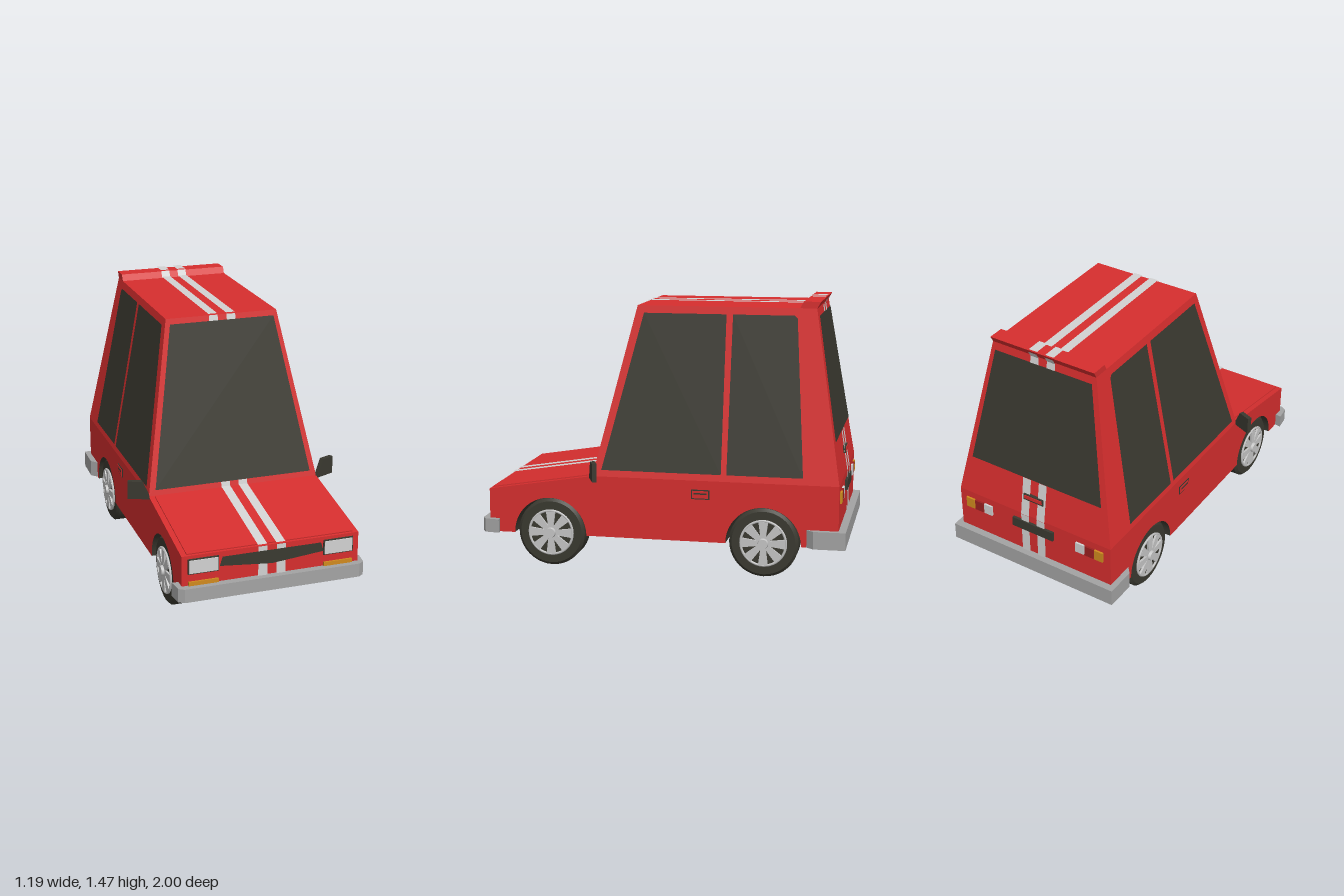
import * as THREE from 'three';
import { toCreasedNormals } from 'three/addons/utils/BufferGeometryUtils.js';

const mat = (name, color) => Object.assign(new THREE.MeshStandardMaterial({ color }), { name });

// Main dimensions
const HALF = 0.485, FLOOR = 0.18, WAIST = 0.515, ROOF = 1.43, FRONT = 0.96, BACK = -0.96;
const AXLES = [0.615, -0.56], ARCH = 0.203;
const lerpAt = (y, a, b) => a + (b - a) * (y - WAIST) / (ROOF - WAIST);
const sideX = y => lerpAt(y, HALF, 0.315);
const screenZ = y => lerpAt(y, 0.375, 0.157);
const rearZ = y => lerpAt(y, BACK, -0.81);

export function createModel() {
  const red = mat('red paint', 0xd62e2e);
  const dark = mat('dark glass and rubber', 0x3a3930);
  const white = mat('stripe white', 0xd2d2d2);
  const grey = mat('bumper grey', 0xa3a3a3);
  const silver = mat('rim silver', 0xc6c6c6);
  const amber = mat('amber lens', 0xd08a1e);
  const tail = mat('tail light red', 0x9c2020);

  const car = new THREE.Group();
  car.name = 'car';
  const add = (name, geo, material, parent = car) => {
    const m = new THREE.Mesh(geo, material);
    m.name = name;
    parent.add(m);
    return m;
  };
  const box = (name, material, w, h, d, x, y, z, parent) => {
    const m = add(name, new THREE.BoxGeometry(w, h, d), material, parent);
    m.position.set(x, y, z);
    return m;
  };

  // Flat convex face lifted slightly off the surface, turned towards "out"
  const panel = (name, material, corners, out, lift) => {
    let p = corners.map(c => new THREE.Vector3(...c));
    const n = p[1].clone().sub(p[0]).cross(p[2].clone().sub(p[0])).normalize();
    if (n.dot(new THREE.Vector3(...out)) < 0) { p.reverse(); n.negate(); }
    p.forEach(v => v.addScaledVector(n, lift));
    const tris = [];
    for (let i = 1; i < p.length - 1; i++) tris.push(p[0], p[i], p[i + 1]);
    const g = new THREE.BufferGeometry().setFromPoints(tris);
    g.computeVertexNormals();
    return add(name, g, material);
  };

  // Lower body with through-cut wheel arches; underside and arches are dark
  const s = new THREE.Shape();
  s.moveTo(FRONT, FLOOR);
  s.lineTo(FRONT, 0.42);
  s.lineTo(0.375, WAIST);
  s.lineTo(BACK, WAIST);
  s.lineTo(BACK, FLOOR);
  for (const z of [...AXLES].reverse()) {
    s.lineTo(z - ARCH, FLOOR);
    s.absarc(z, FLOOR, ARCH, Math.PI, 0, true);
  }
  const body = new THREE.ExtrudeGeometry(s, { depth: HALF * 2, bevelEnabled: false, curveSegments: 24 });
  body.rotateY(-Math.PI / 2).translate(HALF, 0, 0);
  body.clearGroups();
  const pos = body.attributes.position, nor = body.attributes.normal;
  for (let i = 0; i < pos.count; i += 3) {
    const inArch = pos.getY(i) < 0.4 && AXLES.some(z => Math.abs(pos.getZ(i) - z) < ARCH + 0.001);
    const under = Math.abs(nor.getX(i)) < 0.5 && (nor.getY(i) < -0.5 || inArch);
    body.addGroup(i, 3, under ? 1 : 0);
  }
  add('lowerBody', body, [red, dark]);

  // Tapered cabin: a box whose corners follow the pillars
  const cabin = new THREE.BoxGeometry(2, 1, 2);
  const cp = cabin.attributes.position;
  for (let i = 0; i < cp.count; i++) {
    const y = cp.getY(i) > 0 ? ROOF : WAIST;
    cp.setXYZ(i, cp.getX(i) * sideX(y), y, cp.getZ(i) > 0 ? screenZ(y) : rearZ(y));
  }
  cabin.computeVertexNormals();
  add('cabin', cabin, red);

  // Raised bonnet panel
  const hood = box('bonnet', red, 0.91, 0.012, 0.57, 0, 0.4675, 0.6675);
  hood.rotation.x = Math.atan2(0.095, 0.585);

  // Roof spoiler
  const sp = new THREE.Shape([[-0.72, 1.42], [-0.72, 1.43], [-0.74, 1.465], [-0.83, 1.465], [-0.805, 1.42]]
    .map(p => new THREE.Vector2(...p)));
  add('spoiler', new THREE.ExtrudeGeometry(sp, { depth: 0.63, bevelEnabled: false })
    .rotateY(-Math.PI / 2).translate(0.315, 0, 0), red);

  // Front and rear glass
  const endGlass = (name, zAt, y0, w0, y1, w1, dir) => panel(name, dark,
    [[-w0, y0, zAt(y0)], [w0, y0, zAt(y0)], [w1, y1, zAt(y1)], [-w1, y1, zAt(y1)]], [0, 0, dir], 0.006);
  endGlass('windscreen', screenZ, 0.545, 0.447, 1.4, 0.295, 1);
  endGlass('rearWindow', rearZ, 0.735, 0.41, 1.39, 0.295, -1);

  // Double stripes following the centre line, front to back
  const chains = [
    [[FRONT, 0.25], [FRONT, 0.42], [0.375, WAIST], [screenZ(0.545), 0.545]],
    [[screenZ(1.4), 1.4], [0.157, ROOF], [-0.72, ROOF], [-0.74, 1.465], [-0.83, 1.465], [-0.81, ROOF], [rearZ(1.39), 1.39]],
    [[rearZ(0.735), 0.735], [BACK, WAIST], [BACK, 0.27]],
  ];
  for (const side of [-1, 1]) for (const chain of chains) {
    for (let i = 0; i < chain.length - 1; i++) {
      const [z0, y0] = chain[i], [z1, y1] = chain[i + 1];
      const a = side * 0.025, b = side * 0.075;
      panel('stripe', white, [[a, y0, z0], [b, y0, z0], [b, y1, z1], [a, y1, z1]], [0, z0 - z1, y1 - y0], 0.008);
    }
  }

  // Grille
  panel('grille', dark, [[-0.27, 0.395, FRONT], [-0.285, 0.345, FRONT], [0, 0.318, FRONT],
    [0.285, 0.345, FRONT], [0.27, 0.395, FRONT]], [0, 0, 1], 0.011);

  // Mirror shape, drawn from the body outwards
  const mirrorShape = new THREE.Shape([[0, 0], [0.12, 0], [0.12, 0.1], [0.045, 0.1], [0.012, 0.03]]
    .map(p => new THREE.Vector2(...p)));

  for (const side of [-1, 1]) {
    // Side windows
    for (const [name, pts] of [
      ['frontSideWindow', [[0.325, 0.55], [0.12, 1.39], [-0.33, 1.39], [-0.33, 0.55]]],
      ['rearSideWindow', [[-0.36, 0.55], [-0.365, 1.39], [-0.695, 1.39], [-0.71, 1.375], [-0.768, 0.55]]],
    ]) panel(name, dark, pts.map(([z, y]) => [side * sideX(y), y, z]), [side, 0, 0], 0.005);

    // Front lamps
    box('headlightFrame', dark, 0.166, 0.084, 0.008, side * 0.37, 0.36, FRONT + 0.003);
    box('headlight', white, 0.154, 0.072, 0.014, side * 0.37, 0.36, FRONT + 0.005);
    box('frontIndicator', amber, 0.16, 0.022, 0.012, side * 0.37, 0.266, FRONT + 0.004);

    // Rear lamps
    [[0.415, amber], [0.357, tail], [0.297, white]].forEach(([x, m]) =>
      box('rearLamp', m, 0.052, 0.06, 0.014, side * x, 0.445, BACK - 0.004));

    // Door handle
    box('doorHandlePlate', dark, 0.006, 0.052, 0.1, side * HALF, 0.44, -0.22);
    box('doorHandle', red, 0.012, 0.04, 0.088, side * HALF, 0.44, -0.22);
    box('doorHandleSlot', dark, 0.014, 0.008, 0.07, side * HALF, 0.445, -0.22);

    // Wing mirror, swept backwards
    const holder = new THREE.Group();
    holder.name = 'mirror';
    holder.position.set(side * 0.475, 0.505, 0.37);
    holder.rotation.y = side > 0 ? 0.4 : Math.PI - 0.4;
    add('mirrorHousing', new THREE.ExtrudeGeometry(mirrorShape, { depth: 0.025, bevelEnabled: false })
      .translate(0, 0, side > 0 ? 0 : -0.025), dark, holder);
    car.add(holder);
  }

  // Number plate and tailgate handle
  box('rearPlate', dark, 0.26, 0.055, 0.024, 0, 0.447, BACK - 0.003);
  box('tailgateHandlePlate', dark, 0.125, 0.036, 0.022, 0, 0.63, rearZ(0.63) - 0.003);
  box('tailgateHandle', red, 0.11, 0.02, 0.03, 0, 0.633, rearZ(0.63) - 0.003);

  // Wrap-around bumpers, half outlines in x and z, mirrored
  const bumper = (name, half, height) => {
    const all = [...half, ...half.map(([x, z]) => [-x, z]).reverse()];
    const shape = new THREE.Shape(all.map(([x, z]) => new THREE.Vector2(x, -z)));
    add(name, new THREE.ExtrudeGeometry(shape, { depth: height, bevelEnabled: false })
      .rotateX(-Math.PI / 2).translate(0, FLOOR, 0), grey);
  };
  bumper('frontBumper', [[0.484, 0.959], [0.484, 0.905], [0.52, 0.9], [0.51, 0.98], [0.48, 1]], 0.075);
  bumper('rearBumper', [[0.484, -0.959], [0.484, -0.79], [0.518, -0.83], [0.515, -1]], 0.095);

  // Wheels, built facing +z and turned outwards
  const tyre = toCreasedNormals(new THREE.LatheGeometry(
    [[0, -0.07], [0.172, -0.07], [0.187, -0.056], [0.187, 0.056], [0.172, 0.07], [0, 0.07]]
      .map(p => new THREE.Vector2(...p)), 40).rotateX(Math.PI / 2), 0.5);
  const rim = new THREE.TorusGeometry(0.122, 0.007, 6, 40);
  const hub = new THREE.CylinderGeometry(0.026, 0.032, 0.03, 20).rotateX(Math.PI / 2);
  const spoke = new THREE.ExtrudeGeometry(new THREE.Shape([[-0.012, 0.015], [0.012, 0.015], [0.026, 0.118], [-0.026, 0.118]]
    .map(p => new THREE.Vector2(...p))), { depth: 0.012, bevelEnabled: false });
  for (const z of AXLES) for (const side of [-1, 1]) {
    const wheel = new THREE.Group();
    wheel.name = 'wheel';
    wheel.position.set(side * 0.4, 0.187, z);
    wheel.rotation.y = side * Math.PI / 2;
    add('tyre', tyre, dark, wheel);
    add('rim', rim, silver, wheel).position.z = 0.075;
    add('hub', hub, silver, wheel).position.z = 0.082;
    for (let i = 0; i < 8; i++) {
      const m = add('spoke', spoke, silver, wheel);
      m.position.z = 0.07;
      m.rotation.z = i * Math.PI / 4;
    }
    car.add(wheel);
  }

  return car;
}
